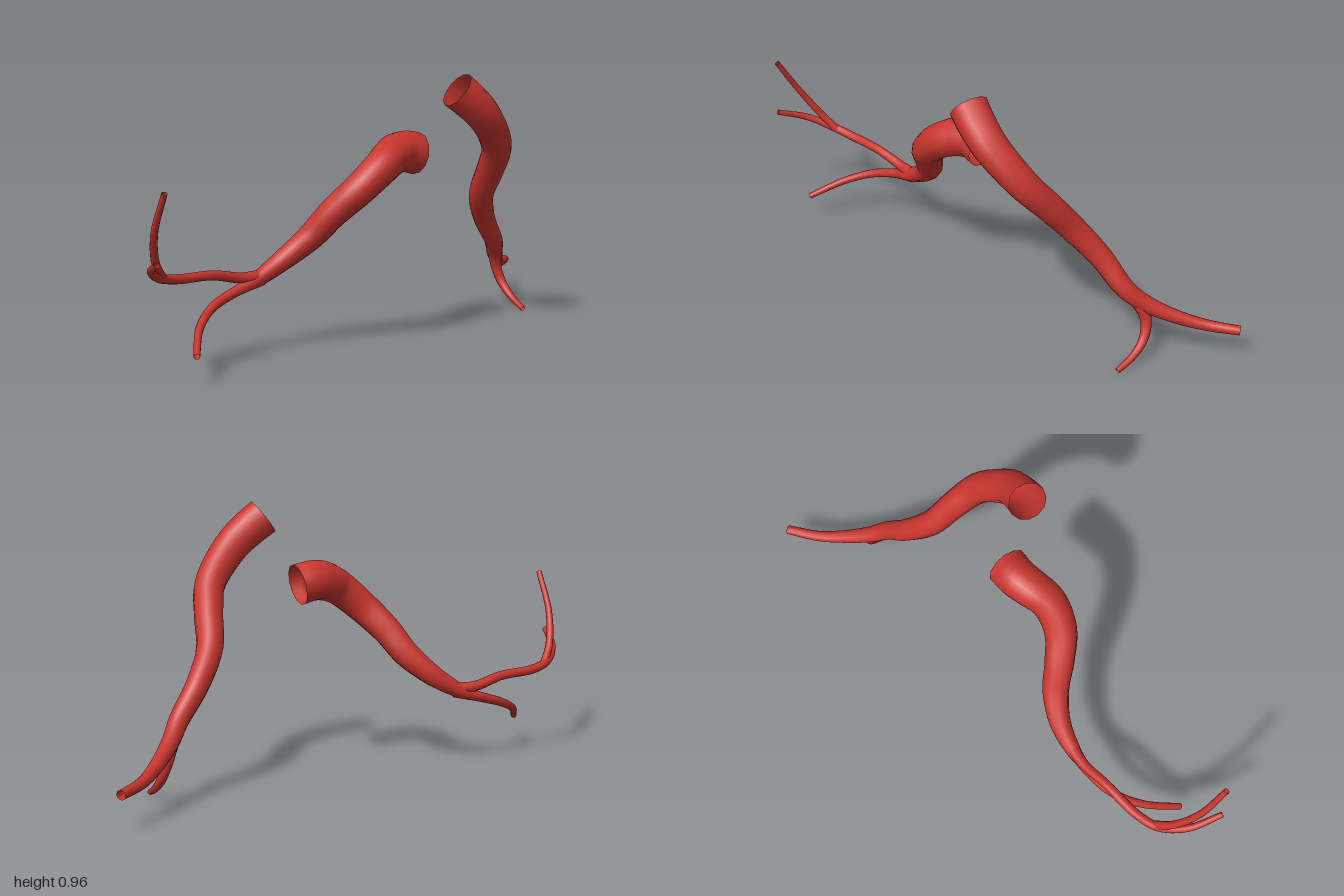
import * as THREE from 'three';

const arteryRed = new THREE.MeshStandardMaterial({ color: 0xc8352e, side: THREE.DoubleSide });
arteryRed.name = 'arteryRed';

// Open tapering tube; each point is [x, y, z, radius]
function vessel(name, points, segments = 32, sides = 12) {
  const curve = new THREE.CatmullRomCurve3(points.map(([x, y, z]) => new THREE.Vector3(x, y, z)));
  const geometry = new THREE.TubeGeometry(curve, segments, 1, sides, false);
  const position = geometry.attributes.position;
  const v = new THREE.Vector3();
  for (let i = 0; i <= segments; i++) {
    const u = i / segments;
    const centre = curve.getPointAt(u);
    // Radius blended between the neighbouring control points
    const t = curve.getUtoTmapping(u) * (points.length - 1);
    const k = Math.min(Math.floor(t), points.length - 2);
    const radius = THREE.MathUtils.lerp(points[k][3], points[k + 1][3], t - k);
    for (let j = 0; j <= sides; j++) {
      const n = i * (sides + 1) + j;
      v.fromBufferAttribute(position, n).sub(centre).multiplyScalar(radius).add(centre);
      position.setXYZ(n, v.x, v.y, v.z);
    }
  }
  const mesh = new THREE.Mesh(geometry, arteryRed);
  mesh.name = name;
  return mesh;
}

export function createModel() {
  const model = new THREE.Group();
  model.name = 'arteries';

  // Left artery: long trunk with one small side branch
  const left = new THREE.Group();
  left.name = 'leftArtery';
  left.add(
    vessel('leftTrunk', [
      [0.11, 0.91, 0.225, 0.068], [0.155, 0.87, 0.25, 0.066], [0.22, 0.81, 0.27, 0.062],
      [0.335, 0.69, 0.25, 0.055], [0.395, 0.595, 0.187, 0.051], [0.45, 0.49, 0.115, 0.047],
      [0.54, 0.38, 0.072, 0.041], [0.63, 0.275, 0.06, 0.035], [0.69, 0.218, 0.028, 0.031],
      [0.78, 0.167, -0.02, 0.025], [0.88, 0.133, -0.07, 0.02], [0.995, 0.122, -0.113, 0.017],
    ], 56),
    vessel('leftSideBranch', [
      [0.635, 0.27, 0.058, 0.027], [0.68, 0.21, 0.035, 0.025], [0.703, 0.15, 0.03, 0.02],
      [0.709, 0.09, 0.055, 0.017], [0.697, 0.045, 0.105, 0.013], [0.67, 0.013, 0.172, 0.01],
    ]),
  );

  // Right artery: arched trunk that forks, with the upper branch forking again
  const right = new THREE.Group();
  right.name = 'rightArtery';
  right.add(
    vessel('rightTrunk', [
      [0.085, 0.678, 0.07, 0.075], [0.03, 0.69, 0.052, 0.073], [-0.03, 0.682, 0.05, 0.07],
      [-0.1, 0.65, 0.053, 0.064], [-0.18, 0.577, 0.015, 0.058], [-0.23, 0.495, -0.06, 0.053],
      [-0.265, 0.41, -0.13, 0.048], [-0.335, 0.33, -0.2, 0.038], [-0.43, 0.268, -0.245, 0.026],
      [-0.47, 0.253, -0.258, 0.019],
    ], 48),
    vessel('rightLowerBranch', [
      [-0.41, 0.273, -0.237, 0.026], [-0.51, 0.24, -0.268, 0.018], [-0.62, 0.205, -0.275, 0.016],
      [-0.73, 0.16, -0.235, 0.014], [-0.84, 0.1, -0.15, 0.011],
    ]),
    vessel('rightUpperBranch', [
      [-0.4, 0.28, -0.232, 0.025], [-0.48, 0.283, -0.265, 0.019], [-0.6, 0.31, -0.289, 0.017],
      [-0.74, 0.318, -0.317, 0.017], [-0.83, 0.337, -0.315, 0.016], [-0.92, 0.38, -0.267, 0.013],
      [-0.99, 0.425, -0.173, 0.01],
    ], 40),
    vessel('rightRisingTwig', [
      [-0.81, 0.328, -0.317, 0.015], [-0.87, 0.395, -0.293, 0.014], [-0.93, 0.51, -0.238, 0.012],
      [-0.965, 0.65, -0.157, 0.01],
    ]),
  );

  model.add(left, right);
  return model;
}
